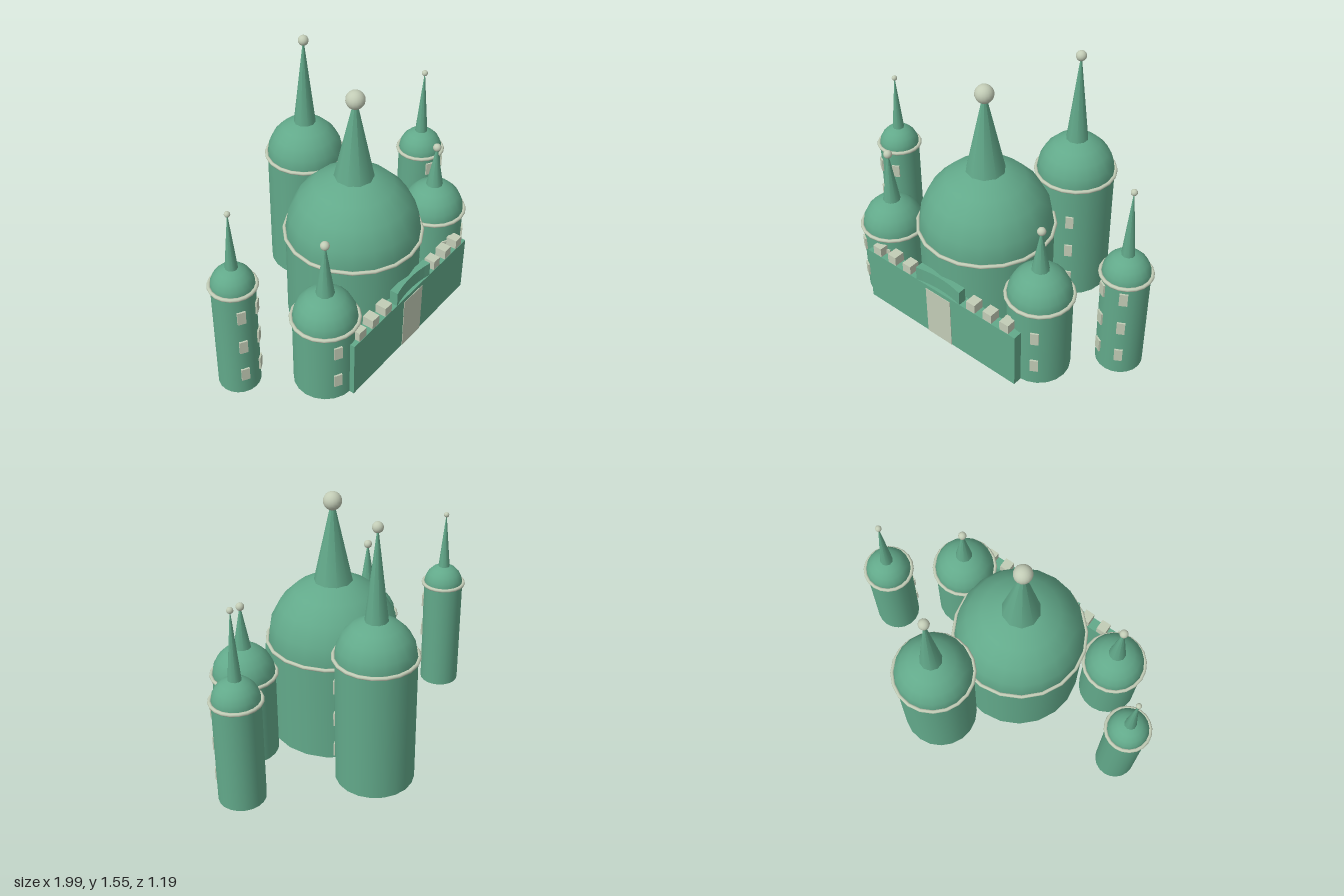
import * as THREE from 'three';

const SIDES = 20;

export function createModel() {
  const root = new THREE.Group();
  root.name = 'domedPalace';

  const green = new THREE.MeshStandardMaterial({ color: 0x62a98a });
  green.name = 'jadeGreen';
  const pale = new THREE.MeshStandardMaterial({ color: 0xc2ccb6 });
  pale.name = 'paleStone';

  function add(parent, name, geometry, material, x = 0, y = 0, z = 0) {
    const mesh = new THREE.Mesh(geometry, material);
    mesh.name = name;
    mesh.position.set(x, y, z);
    parent.add(mesh);
    return mesh;
  }

  // Round tower: drum, ring, dome, spire and ball, with window rows at the front
  function addTower({ name, x, z, r, h, spireR, ballY, ballR, rows }) {
    const tower = new THREE.Group();
    tower.name = name;
    tower.position.set(x, 0, z);
    root.add(tower);

    add(tower, 'drum', new THREE.CylinderGeometry(r, r, h, SIDES), green, 0, h / 2);
    add(tower, 'dome', new THREE.SphereGeometry(r, SIDES, 5, 0, Math.PI * 2, 0, Math.PI / 2), green, 0, h);
    const ring = add(tower, 'ring', new THREE.TorusGeometry(r + 0.006, 0.011, 8, SIDES), pale, 0, h);
    ring.rotation.x = Math.PI / 2;

    // Spire starts a little inside the dome and ends inside the ball
    const base = h + r * 0.9;
    const tip = ballY + ballR * 0.6;
    const baseR = spireR * (tip - base) / (tip - h - r);
    add(tower, 'spire', new THREE.ConeGeometry(baseR, tip - base, 10), green, 0, (base + tip) / 2);
    add(tower, 'ball', new THREE.SphereGeometry(ballR, 16, 12), pale, 0, ballY);

    for (const y of rows) {
      for (const side of [-1, 1]) {
        const a = side * Math.PI / 6;
        const win = add(tower, 'window', new THREE.BoxGeometry(0.046, 0.08, 0.016), pale,
          Math.sin(a) * r, y, Math.cos(a) * r);
        win.rotation.y = a;
      }
    }
  }

  const low = [0.14, 0.345];
  const high = [0.14, 0.345, 0.555];
  [
    { name: 'mainHall', x: -0.027, z: 0.172, r: 0.385, h: 0.6, spireR: 0.108, ballY: 1.447, ballR: 0.053, rows: [] },
    { name: 'backTower', x: 0.2, z: -0.355, r: 0.225, h: 0.78, spireR: 0.063, ballY: 1.522, ballR: 0.03, rows: high },
    { name: 'rightOuterTower', x: -0.863, z: 0.02, r: 0.119, h: 0.69, spireR: 0.034, ballY: 1.146, ballR: 0.016, rows: high },
    { name: 'rightFrontTower', x: -0.565, z: 0.39, r: 0.178, h: 0.452, spireR: 0.05, ballY: 0.937, ballR: 0.025, rows: low },
    { name: 'leftFrontTower', x: 0.513, z: 0.363, r: 0.18, h: 0.511, spireR: 0.048, ballY: 0.937, ballR: 0.024, rows: low },
    { name: 'leftOuterTower', x: 0.842, z: 0.048, r: 0.133, h: 0.632, spireR: 0.037, ballY: 1.163, ballR: 0.018, rows: high },
  ].forEach(addTower);

  // Front wall with its gate
  const cx = -0.025;
  const zBack = 0.525, zFront = 0.595, zMid = 0.56;
  add(root, 'frontWall', new THREE.BoxGeometry(1.107, 0.358, zFront - zBack), green, cx, 0.179, zMid);
  add(root, 'gate', new THREE.BoxGeometry(0.182, 0.332, 0.006), pale, cx, 0.166, zFront);

  // Parapet over the gate, its front bowed slightly inward
  const plan = new THREE.Shape();
  plan.moveTo(-0.162, -zFront);
  plan.quadraticCurveTo(0, -zFront + 0.04, 0.162, -zFront);
  plan.lineTo(0.162, -0.545);
  plan.lineTo(-0.162, -0.545);
  plan.closePath();
  const parapetGeo = new THREE.ExtrudeGeometry(plan, { depth: 0.095, bevelEnabled: false, curveSegments: 8 });
  parapetGeo.rotateX(-Math.PI / 2);
  add(root, 'gateParapet', parapetGeo, green, cx, 0.352, 0);

  // Battlement blocks
  for (const side of [-1, 1]) {
    for (let i = 0; i < 3; i++) {
      add(root, 'battlement', new THREE.BoxGeometry(0.06, 0.06, 0.066), pale,
        cx + side * (0.241 + i * 0.118), 0.386, zMid);
    }
  }

  return root;
}
